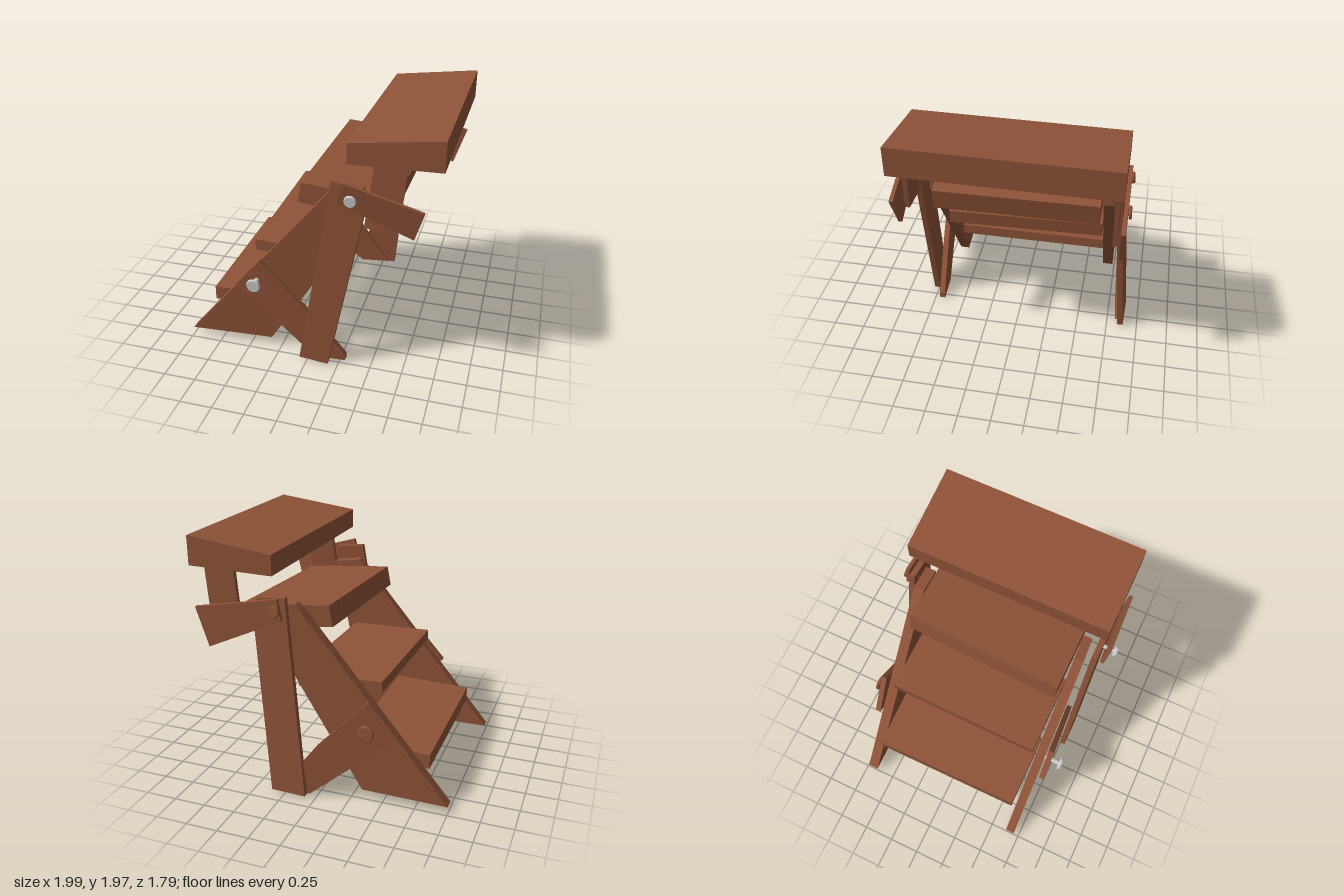
import * as THREE from 'three';

const wood = new THREE.MeshStandardMaterial({ color: 0x8f5338 });
const steel = new THREE.MeshStandardMaterial({ color: 0xcccccc });

// Board: an outline in x/y, extruded from zBack to zFront.
// kx, ky lean the board in z; dx, dy shift its far end for a slight skew.
function board(name, outline, zBack, zFront, { kx = 0, ky = 0, dx = 0, dy = 0 } = {}) {
  const shape = new THREE.Shape(outline.map(([x, y]) => new THREE.Vector2(x, y)));
  const depth = zFront - zBack;
  const geo = new THREE.ExtrudeGeometry(shape, { depth, bevelEnabled: false });
  const p = geo.attributes.position;
  for (let i = 0; i < p.count; i++) {
    const x = p.getX(i), y = p.getY(i), z = p.getZ(i);
    const far = 1 - z / depth;
    p.setXYZ(i, x + dx * far, y + dy * far, zBack + z + kx * x + ky * y);
  }
  geo.computeVertexNormals();
  const mesh = new THREE.Mesh(geo, wood);
  mesh.name = name;
  return mesh;
}

// Thin plank given by its centre plane z = c + kx * x + ky * y
const plank = (name, outline, c, thick, kx = 0, ky = 0) =>
  board(name, outline, c - thick / 2, c + thick / 2, { kx, ky });

// Bolt: shaft and round head, side = 1 for the front, -1 for the back
function bolt(name, x, y, inner, outer, radius, side, material, tilt) {
  const g = new THREE.Group();
  g.name = name;
  const headDepth = 0.027, length = outer - inner;
  const shaft = new THREE.Mesh(new THREE.CylinderGeometry(radius * 0.35, radius * 0.35, length, 16), material);
  shaft.name = 'boltShaft';
  shaft.position.y = -length / 2;
  const head = new THREE.Mesh(
    new THREE.LatheGeometry([
      [0, -headDepth], [radius * 0.9, -headDepth], [radius, -headDepth * 0.7],
      [radius, -headDepth * 0.3], [radius * 0.9, 0], [0, 0],
    ].map(([r, h]) => new THREE.Vector2(r, h)), 24).toNonIndexed(), material);
  head.geometry.computeVertexNormals();
  head.name = 'boltHead';
  g.add(shaft, head);
  g.position.set(x, y, side * outer);
  g.rotation.set(side * Math.PI / 2 + tilt, 0, 0);
  return g;
}

export function createModel() {
  const model = new THREE.Group();
  model.name = 'foldingStepStool';

  // Slanted side boards carrying the steps
  const stringer = [[-1, 0.07], [-0.33, 0.08], [0.4, 1.25], [0.4, 1.46], [0.19, 1.49], [0.16, 1.46]];
  model.add(
    plank('frontStringer', stringer, 0.618, 0.075, -0.05, 0.034),
    plank('backStringer', stringer.map(([x, y]) => [x, y + (y > 1 ? 0.02 : 0)]), -0.699, 0.085, -0.01, 0.005),
  );

  // Three steps, each slightly skewed
  model.add(
    board('lowerStep', [[-0.83, 0.315], [-0.2, 0.36], [-0.2, 0.45], [-0.83, 0.43]], -0.65, 0.6),
    board('middleStep', [[-0.46, 0.84], [0.2, 0.79], [0.21, 0.91], [-0.46, 0.925]], -0.65, 0.6, { dx: 0.01, dy: 0.035 }),
    board('upperStep', [[-0.11, 1.3], [0.59, 1.225], [0.62, 1.4], [-0.08, 1.46]], -0.65, 0.6, { dx: 0.04, dy: 0.04 }),
  );

  // Seat and its short uprights
  model.add(
    board('seat', [[0.31, 1.735], [0.98, 1.75], [0.98, 1.975], [0.31, 1.89]], -0.82, 0.795, { dx: 0.012, dy: -0.005 }),
    plank('frontSeatUpright', [[0.44, 1.26], [0.68, 1.27], [0.735, 1.76], [0.5, 1.75]], 0.825, 0.04, 0, -0.042),
    plank('backSeatUpright', [[0.6, 1.25], [0.84, 1.25], [0.88, 1.76], [0.64, 1.75]], -0.775, 0.035),
  );

  // Long rear legs
  model.add(
    plank('frontLeg', [[-0.06, 0.03], [0.17, 0.01], [0.45, 1.42], [0.43, 1.56], [0.2, 1.59]], 0.77, 0.045, 0, -0.005),
    plank('backLeg', [[0.08, 0.02], [0.36, 0.02], [0.5, 1.45], [0.46, 1.55], [0.24, 1.57]], -0.875, 0.045, 0.03, 0.06),
  );

  // Diagonal braces from legs to stringers
  model.add(
    plank('frontBrace', [[-0.57, 0.61], [0.05, 0.01], [0.29, 0.01], [0.29, 0.06], [0, 0.42], [-0.38, 0.83]], 0.708, 0.045, -0.06, 0.005),
    plank('backBrace', [[-0.62, 0.59], [0.06, 0.02], [0.31, 0.03], [0, 0.44], [-0.4, 0.86]], -0.815, 0.045, -0.085),
  );

  // Plates joining the legs to the seat uprights
  model.add(
    plank('frontTopPlate', [[0.25, 1.455], [0.8, 1.225], [0.87, 1.45], [0.31, 1.615]], 0.632, 0.03, 0, 0.13),
    plank('backTopPlate', [[0.25, 1.41], [0.85, 1.135], [0.95, 1.44], [0.28, 1.57]], -0.83, 0.03),
  );

  // Bolts
  model.add(
    bolt('frontLowerBolt', -0.4, 0.66, 0.68, 0.85, 0.055, 1, steel, 0.06),
    bolt('frontUpperBolt', 0.36, 1.5, 0.75, 0.895, 0.044, 1, steel, 0.06),
    bolt('backLowerBolt', -0.4, 0.63, 0.7, 0.865, 0.062, -1, wood, 0.06),
    bolt('backUpperBolt', 0.3, 1.48, 0.75, 0.865, 0.044, -1, wood, 0.15),
  );

  return model;
}
